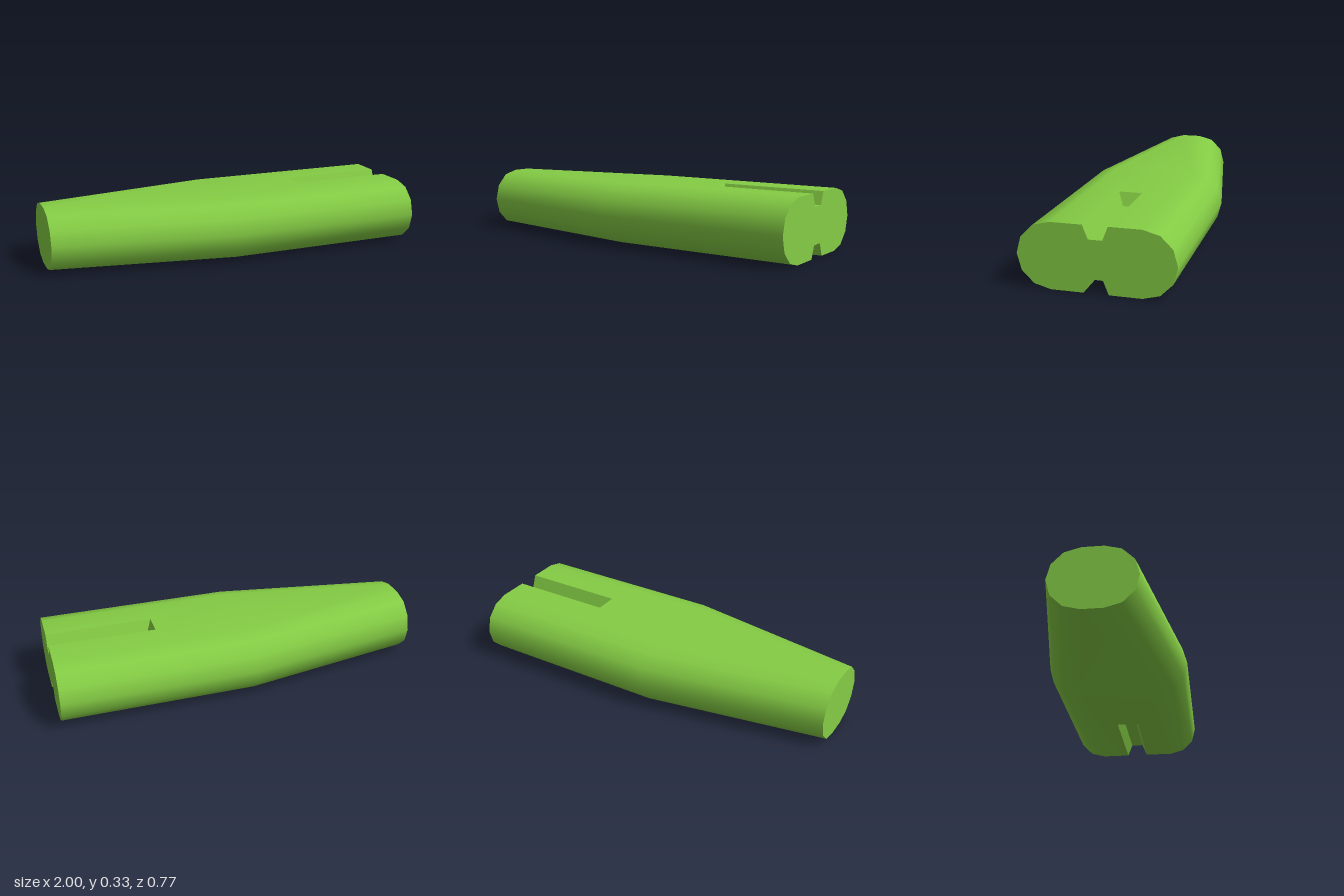
import * as THREE from 'three';
import { toCreasedNormals } from 'three/addons/utils/BufferGeometryUtils.js';

const R = 0.164;                 // half thickness, also the radius of the rounded sides

// Upper half of the cross-section at x, from the +z side over the top to the -z side
function halfProfile(x, offset) {
  const points = [];
  for (let i = 0; i <= 6; i++) {
    const a = (i * Math.PI) / 6;
    const y = R * Math.sin(a), z = R * Math.cos(a);
    if (i <= 3) points.push([x, y, z + offset]);
    if (i >= 3) points.push([x, y, z - offset]);
  }
  return points;
}

function bodyGeometry() {
  const pos = [];
  // Each triangle is repeated half a turn about the x axis to make the underside
  const tri = (...corners) => {
    for (const [x, y, z] of corners) pos.push(x, y, z);
    for (const [x, y, z] of corners) pos.push(x, -y, -z);
  };
  const quad = (a, b, c, d) => { tri(a, b, c); tri(a, c, d); };

  const tip = halfProfile(-1, 0.054);
  const mid = halfProfile(-0.04, 0.22);
  const end = halfProfile(1, 0.22);

  // Tapered part, then the straight rounded sides
  for (let k = 0; k < 7; k++) {
    quad(tip[k], mid[k], mid[k + 1], tip[k + 1]);
    if (k !== 3) quad(mid[k], end[k], end[k + 1], mid[k + 1]);
  }

  // Slot corners: rim start and end, floor start and end
  const pair = (x, y, z) => [[x, y, z], [x, y, -z]];
  const [s1, s2] = pair(0.435, R, 0.061);
  const [e1, e2] = pair(1, R, 0.061);
  const [f1, f2] = pair(0.462, 0.096, 0.034);
  const [g1, g2] = pair(1, 0.096, 0.034);

  // Flat face around the slot
  quad(mid[3], s1, s2, mid[4]);
  quad(mid[3], end[3], e1, s1);
  quad(s2, e2, end[4], mid[4]);

  // Slot floor, walls and sloping inner end
  quad(f1, g1, g2, f2);
  quad(s1, e1, g1, f1);
  quad(f2, g2, e2, s2);
  quad(s1, f1, f2, s2);

  // End caps
  const notched = [...end.slice(0, 4), e1, g1, g2, e2, ...end.slice(4)];
  for (let k = 0; k < 7; k++) tri([-1, 0, 0], tip[k], tip[k + 1]);
  for (let k = 0; k < notched.length - 1; k++) tri([1, 0, 0], notched[k + 1], notched[k]);

  const geometry = new THREE.BufferGeometry();
  geometry.setAttribute('position', new THREE.Float32BufferAttribute(pos, 3));
  return toCreasedNormals(geometry, 0.8);
}

export function createModel() {
  const green = new THREE.MeshStandardMaterial({ color: 0x84cc44 });
  green.name = 'green';

  const body = new THREE.Mesh(bodyGeometry(), green);
  body.name = 'slottedTaperedBody';
  body.position.y = R;

  const model = new THREE.Group();
  model.name = 'taperedPeg';
  model.add(body);
  return model;
}
